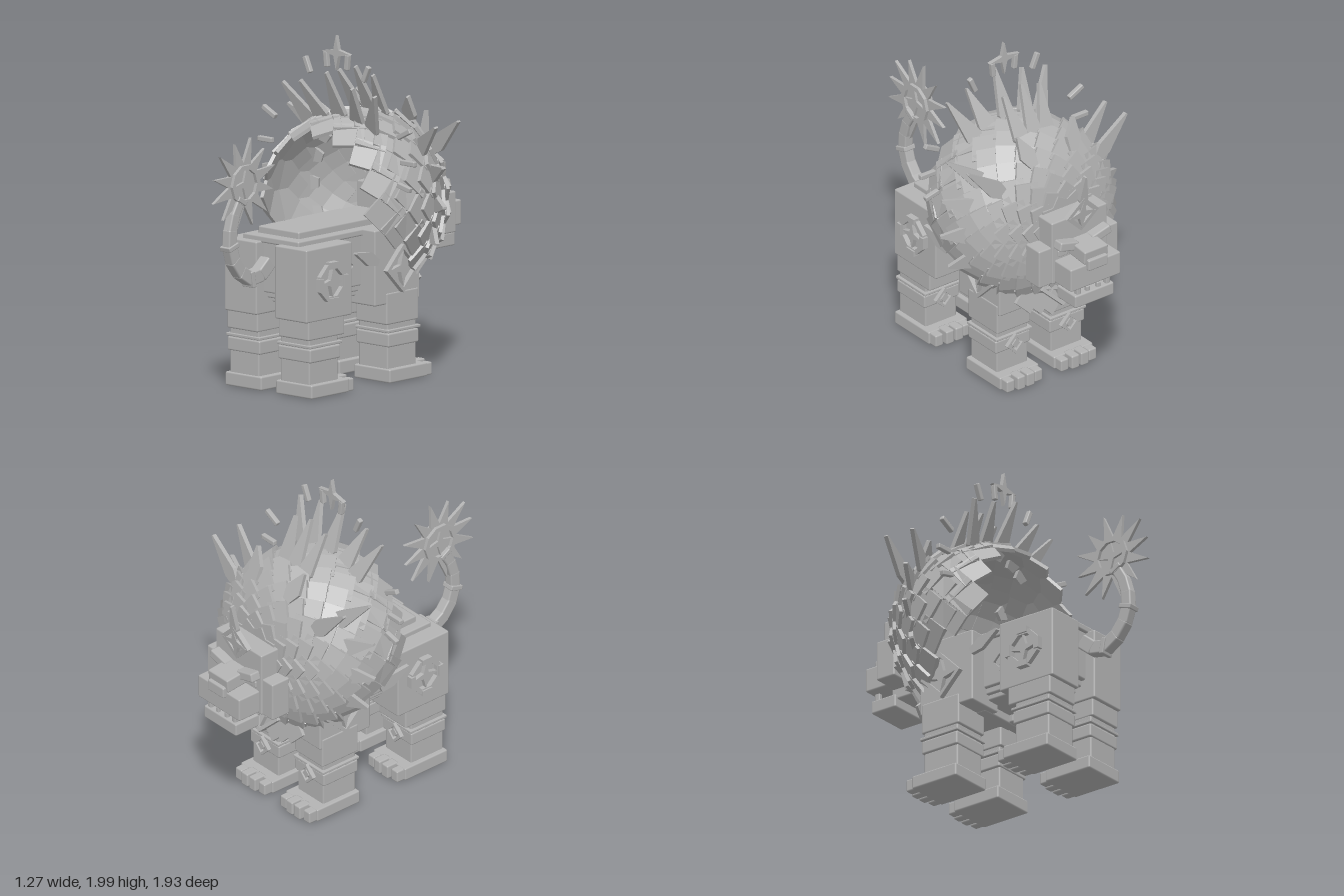
import * as THREE from 'three';
import { RoundedBoxGeometry } from 'three/addons/geometries/RoundedBoxGeometry.js';

const stone = new THREE.MeshStandardMaterial({ color: 0xb3b3b3 });
stone.name = 'stone grey';

function add(parent, name, geometry, pos = [0, 0, 0], rot = [0, 0, 0]) {
  const mesh = new THREE.Mesh(geometry, stone);
  mesh.name = name;
  mesh.position.set(...pos);
  mesh.rotation.set(...rot);
  parent.add(mesh);
  return mesh;
}

// Softly bevelled block given by its limits on each axis
function block(parent, name, [x0, x1], [y0, y1], [z0, z1], rot) {
  const w = x1 - x0, h = y1 - y0, d = z1 - z0;
  const g = new RoundedBoxGeometry(w, h, d, 1, Math.min(0.01, Math.min(w, h, d) * 0.25));
  return add(parent, name, g, [(x0 + x1) / 2, (y0 + y1) / 2, (z0 + z1) / 2], rot);
}

function group(parent, name, pos = [0, 0, 0], rot = [0, 0, 0]) {
  const g = new THREE.Group();
  g.name = name;
  g.position.set(...pos);
  g.rotation.set(...rot);
  parent.add(g);
  return g;
}

// Flat plate in the xy plane, centred on its thickness
function plate(shape, depth) {
  return new THREE.ExtrudeGeometry(shape, { depth, bevelEnabled: false }).translate(0, 0, -depth / 2);
}

// Pointed star plate; every other point is a little shorter
function starGeometry(points, outer, inner, depth, turn = 0) {
  return plate(new THREE.Shape(Array.from({ length: points * 2 }, (_, i) => {
    const a = turn + i * Math.PI / points;
    const r = i % 2 ? inner : outer * (i % 4 ? 0.94 : 1);
    return new THREE.Vector2(r * Math.cos(a), r * Math.sin(a));
  })), depth);
}

// Polygon frame with a hole
function frameGeometry(sides, outer, inner, depth, turn) {
  const ring = r => Array.from({ length: sides }, (_, i) => {
    const a = turn + i * 2 * Math.PI / sides;
    return new THREE.Vector2(r * Math.cos(a), r * Math.sin(a));
  });
  const shape = new THREE.Shape(ring(outer));
  shape.holes.push(new THREE.Path(ring(inner).reverse()));
  return plate(shape, depth);
}

// Pointed flat blade from base to tip, wide along the given direction
function blade(parent, name, base, tip, halfWidth, across) {
  const a = new THREE.Vector3(...base), dir = new THREE.Vector3(...tip).sub(a);
  const len = dir.length(), w = halfWidth;
  const shape = new THREE.Shape([[-w * 0.5, -0.03], [w * 0.5, -0.03], [w, 0.05], [0.006, len], [-0.006, len], [-w, 0.05]]
    .map(p => new THREE.Vector2(...p)));
  const m = add(parent, name, plate(shape, 0.026), base);
  const yAxis = dir.normalize();
  const zAxis = new THREE.Vector3(...across).cross(yAxis).normalize();
  const xAxis = yAxis.clone().cross(zAxis);
  m.quaternion.setFromRotationMatrix(new THREE.Matrix4().makeBasis(xAxis, yAxis, zAxis));
}

// Square pendant with a raised centre
function diamond(parent, name, r, pos, rot) {
  const g = group(parent, name, pos, rot);
  add(g, 'diamondFrame', frameGeometry(4, r, r * 0.68, 0.025, 0));
  add(g, 'diamondCore', new THREE.BoxGeometry(r * 0.6, r * 0.6, 0.02), [0, 0, 0], [0, 0, Math.PI / 4]);
}

// Shin, bands, paw and toes; z is the shin's centre
function lowerLeg(parent, side, z) {
  const leg = group(parent, 'lowerLeg', [side * 0.195, 0, z]);
  block(leg, 'shin', [-0.112, 0.112], [0.06, 0.4], [-0.122, 0.12]);
  block(leg, 'bandRim', [-0.13, 0.13], [0.295, 0.312], [-0.14, 0.133]);
  block(leg, 'band', [-0.126, 0.126], [0.21, 0.29], [-0.13, 0.127]);
  block(leg, 'paw', [-0.14, 0.14], [0.005, 0.085], [-0.19, 0.13]);
  for (let i = 0; i < 4; i++) {
    const x = -0.1 + i * 0.067;
    block(leg, 'toe', [x - 0.028, x + 0.028], [0.005, i % 3 ? 0.09 : 0.08], [i % 3 ? -0.255 : -0.24, -0.17]);
  }
  diamond(leg, 'shinDiamond', 0.065, [0, 0.25, -0.148]);
}

export function createModel() {
  const model = new THREE.Group();
  model.name = 'guardianLion';

  // Torso with stepped back plates
  block(model, 'torso', [-0.2, 0.2], [0.57, 0.88], [-0.48, 0.45]);
  block(model, 'bellyStep', [-0.18, 0.18], [0.535, 0.58], [-0.46, 0.42]);
  block(model, 'belly', [-0.16, 0.16], [0.505, 0.545], [-0.42, 0.38]);
  block(model, 'chest', [-0.15, 0.15], [0.455, 0.6], [-0.44, -0.1]);
  block(model, 'backPlate', [-0.215, 0.215], [0.86, 0.9], [-0.45, 0.47]);
  block(model, 'upperBackPlate', [-0.158, 0.158], [0.89, 0.94], [-0.45, 0.405]);

  for (const s of [-1, 1]) {
    const span = (a, b) => s > 0 ? [a, b] : [-b, -a];
    // Hind leg with a wheel medallion
    block(model, 'thigh', span(0.07, 0.318), [0.445, 0.87], [0.13, 0.515]);
    block(model, 'hindKnee', span(0.08, 0.315), [0.34, 0.46], [0.19, 0.495]);
    lowerLeg(model, s, 0.36);
    const wheel = group(model, 'thighWheel', [s * 0.33, 0.66, 0.32], [0, Math.PI / 2, 0]);
    add(wheel, 'wheelRing', frameGeometry(8, 0.115, 0.086, 0.034, Math.PI / 8));
    add(wheel, 'wheelStar', starGeometry(4, 0.09, 0.026, 0.03));
    for (let i = 0; i < 4; i++) {
      const a = i * Math.PI / 2;
      add(wheel, 'wheelClasp', new THREE.BoxGeometry(0.034, 0.07, 0.054),
        [0.104 * Math.cos(a), 0.104 * Math.sin(a), 0], [0, 0, a]);
    }
    // Front leg with a framed star on the shoulder
    block(model, 'shoulder', span(0.07, 0.31), [0.46, 0.9], [-0.45, -0.07]);
    block(model, 'frontKnee', span(0.075, 0.315), [0.34, 0.525], [-0.435, -0.165]);
    lowerLeg(model, s, -0.3);
    const badge = group(model, 'shoulderBadge', [s * 0.325, 0.66, -0.28], [0, Math.PI / 2, 0]);
    add(badge, 'badgeFrame', frameGeometry(4, 0.14, 0.11, 0.035, 0));
    add(badge, 'badgeStar', starGeometry(4, 0.11, 0.03, 0.03));
    diamond(model, 'flankDiamond', 0.065, [s * 0.207, 0.7, 0.055], [0, Math.PI / 2, 0]);
  }

  // Head, facing -z
  const head = group(model, 'head');
  block(head, 'neck', [-0.15, 0.15], [0.8, 1.09], [-0.6, -0.42]);
  block(head, 'skull', [-0.2, 0.2], [0.79, 1.19], [-0.795, -0.55]);
  block(head, 'muzzle', [-0.18, 0.18], [0.8, 0.945], [-0.945, -0.77]);
  block(head, 'noseBridge', [-0.085, 0.085], [0.955, 1.04], [-0.95, -0.77], [-0.1, 0, 0]);
  block(head, 'nose', [-0.07, 0.07], [0.91, 0.98], [-0.97, -0.91]);
  block(head, 'jaw', [-0.14, 0.14], [0.675, 0.755], [-0.935, -0.76]);
  block(head, 'throat', [-0.12, 0.12], [0.73, 0.84], [-0.8, -0.65]);
  for (const s of [-1, 1]) {
    const span = (a, b) => s > 0 ? [a, b] : [-b, -a];
    block(head, 'cheek', span(0.13, 0.285), [0.79, 1.03], [-0.785, -0.655]);
    block(head, 'brow', span(0.05, 0.185), [1.01, 1.065], [-0.855, -0.77], [0, 0, s * 0.25]);
    block(head, 'eye', span(0.09, 0.16), [0.96, 1.0], [-0.805, -0.78]);
    block(head, 'fang', span(0.09, 0.12), [0.74, 0.82], [-0.925, -0.89]);
    block(head, 'tooth', span(0.025, 0.05), [0.74, 0.785], [-0.925, -0.9]);
  }
  const crest = group(head, 'foreheadCrest', [0, 1.2, -0.81], [-0.13, 0, 0]);
  add(crest, 'crestFrame', frameGeometry(4, 0.115, 0.08, 0.03, 0));
  add(crest, 'crestStar', starGeometry(4, 0.1, 0.03, 0.035));
  blade(crest, 'crestBlade', [0, 0.05, 0], [0, 0.255, 0], 0.03, [1, 0, 0]);

  // Mane: staggered rings of scales flaring towards the back
  // [z, radius, half sweep in degrees, count, scale size, flare]
  const rings = [
    [0, 0.448, 106, 16, 0.18, -0.12], [-0.09, 0.478, 111, 16, 0.18, 0.05], [-0.17, 0.486, 118, 18, 0.17, 0.12],
    [-0.25, 0.495, 125, 18, 0.165, 0.17], [-0.34, 0.493, 134, 20, 0.155, 0.2], [-0.42, 0.48, 150, 20, 0.15, 0.25],
    [-0.49, 0.452, 180, 20, 0.145, 0.28], [-0.55, 0.41, 180, 20, 0.14, 0.28], [-0.6, 0.355, 180, 18, 0.135, 0.28],
    [-0.64, 0.295, 180, 16, 0.125, 0.25], [-0.662, 0.23, 180, 14, 0.12, 0.2], [-0.67, 0.17, 180, 12, 0.11, 0.15]];
  const mane = group(model, 'mane', [0, 1.03, 0]);
  rings.forEach(([z, r, sweep, count, size, flare], k) => {
    const a = rings[Math.max(k - 1, 0)], b = rings[Math.min(k + 1, rings.length - 1)];
    const tilt = Math.atan2(a[1] - b[1], a[0] - b[0]) + flare;
    const scale = new THREE.BoxGeometry(size, 0.02, size);
    for (let i = 0; i < count; i++) {
      const phi = ((i + (k % 2) / 2) / count) * 2 * Math.PI;
      if (Math.cos(phi) < Math.cos(sweep * Math.PI / 180) - 1e-6) continue;
      const arm = group(mane, 'scaleArm', [0, 0, 0], [0, 0, -phi]);
      add(arm, 'maneScale', scale, [0, r, z], [-tilt, Math.PI / 4, 0]);
    }
  });

  // Long blades among the scales: [tip x, tip y, tip z, base z]
  const tips = [
    [0, 1.79, 0, -0.13], [0.2, 1.72, 0, -0.13], [0.355, 1.69, -0.02, -0.14],
    [0, 1.79, -0.245, -0.39], [0.13, 1.755, -0.25, -0.39], [0.2, 1.61, -0.47, -0.54],
    [0.57, 1.51, -0.49, -0.52], [0.62, 1.27, -0.31, -0.4], [0.63, 1.04, -0.31, -0.4],
    [0.57, 0.82, -0.31, -0.4], [0.57, 1.5, -0.3, -0.38]];
  for (const [x, y, z, bz] of tips) {
    const len = Math.hypot(x, y - 1.03), k = 0.46 / len;
    for (const s of x ? [-1, 1] : [1])
      blade(model, 'maneBlade', [s * x * k, 1.03 + (y - 1.03) * k, bz], [s * x, y, z], 0.052,
        [(y - 1.03) / len, -s * x / len, 0]);
  }
  for (const s of [-1, 1])
    blade(model, 'sideBlade', [s * 0.36, 0.74, -0.01], [s * 0.37, 0.81, 0.16], 0.04, [0, 1, 0]);

  // Chest pendants
  for (const x of [-0.16, -0.08, 0, 0.08, 0.16])
    add(model, 'chestScale', new THREE.BoxGeometry(0.13, 0.13, 0.02),
      [x, 0.5 + Math.abs(x) * 0.4, -0.52], [0.15, 0, Math.PI / 4]);
  const pendant = group(model, 'chestPendant', [0, 0.64, -0.6], [0.25, 0, 0]);
  add(pendant, 'pendantFrame', frameGeometry(4, 0.13, 0.1, 0.03, 0));
  add(pendant, 'pendantStar', starGeometry(4, 0.1, 0.03, 0.03));

  // Floating halo: star and short rods
  const halo = group(model, 'halo', [0, 0, -0.09]);
  add(halo, 'haloStar', starGeometry(4, 0.108, 0.026, 0.025), [0, 1.892, 0]);
  const rods = [[0.08, 1.845, -0.1, 0.09], [0.225, 1.795, -0.42, 0.1], [0.52, 1.485, -1.1, 0.11],
    [0.55, 1.32, -Math.PI / 2, 0.11], [0.52, 1.175, -1.8, 0.1]];
  for (const [x, y, a, len] of rods) for (const s of [-1, 1])
    add(halo, 'haloRod', new RoundedBoxGeometry(0.03, len, 0.03, 1, 0.006), [s * x, y, 0], [0, 0, s * a]);

  // Tail of jointed segments ending in a sunburst
  const path = [[0.76, 0.5], [0.68, 0.62], [0.75, 0.75], [0.88, 0.815], [1.04, 0.8], [1.15, 0.74]];
  const curve = new THREE.CatmullRomCurve3(path.map(([y, z]) => new THREE.Vector3(0, y, z)));
  const tail = group(model, 'tail');
  const joints = curve.getSpacedPoints(8);
  for (let i = 0; i < 8; i++) {
    const p = joints[i], q = joints[i + 1];
    const w = 0.085 - i * 0.003;
    const seg = add(tail, 'tailSegment', new RoundedBoxGeometry(w - 0.01, w, p.distanceTo(q) + 0.02, 1, 0.01),
      p.clone().add(q).multiplyScalar(0.5).toArray());
    seg.lookAt(q);
    if (i % 3 === 1) {
      const collar = add(tail, 'tailCollar', new RoundedBoxGeometry(w + 0.006, w + 0.014, 0.03, 1, 0.006), q.toArray());
      collar.lookAt(q.clone().multiplyScalar(2).sub(p));
    }
  }
  const sun = group(tail, 'tailSun', [0, 1.24, 0.705], [0, Math.PI / 2, 0]);
  add(sun, 'sunRays', starGeometry(12, 0.27, 0.125, 0.02, 77 * Math.PI / 180));
  add(sun, 'sunRing', frameGeometry(10, 0.118, 0.09, 0.06, 0));
  add(sun, 'sunStar', starGeometry(4, 0.088, 0.026, 0.05));

  return model;
}
